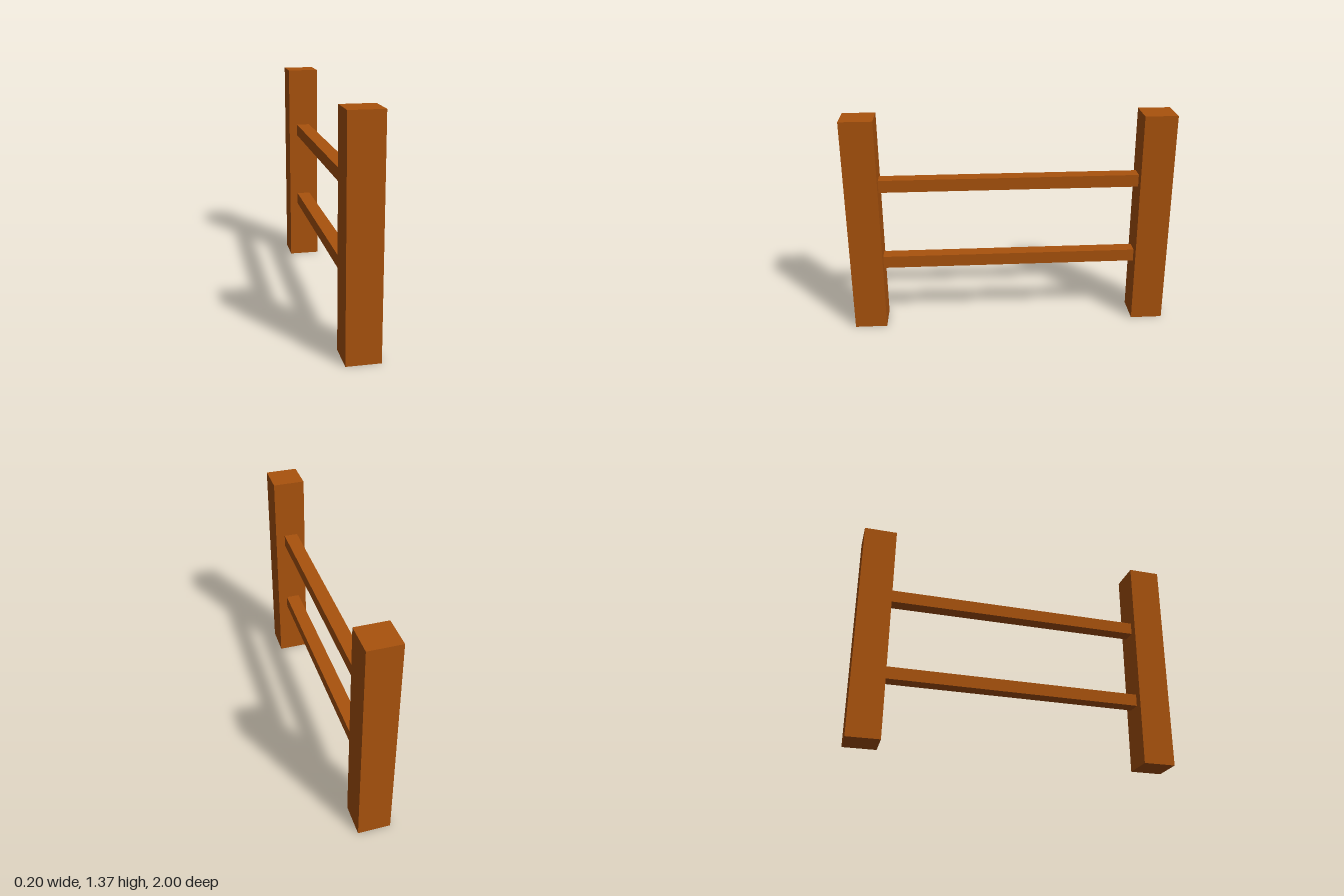
import * as THREE from 'three';

export function createModel() {
  const group = new THREE.Group();
  const wood = new THREE.MeshStandardMaterial({ color: 0xa9520d });
  wood.name = 'brown wood';

  const addBeam = (name, size, position) => {
    const mesh = new THREE.Mesh(new THREE.BoxGeometry(...size), wood);
    mesh.name = name;
    mesh.position.set(...position);
    group.add(mesh);
  };

  // Square posts at each end
  const postHeight = 1.366;
  const postWidth = 0.2;
  for (const [name, side] of [['frontPost', 1], ['backPost', -1]]) {
    addBeam(name, [postWidth, postHeight, postWidth], [0, postHeight / 2, side * (1 - postWidth / 2)]);
  }

  // Thin rails spanning between the posts
  const railLength = 2 - 2 * postWidth;
  for (const [name, y] of [['upperRail', 0.94], ['lowerRail', 0.429]]) {
    addBeam(name, [0.088, 0.077, railLength], [-0.003, y, 0]);
  }

  return group;
}
